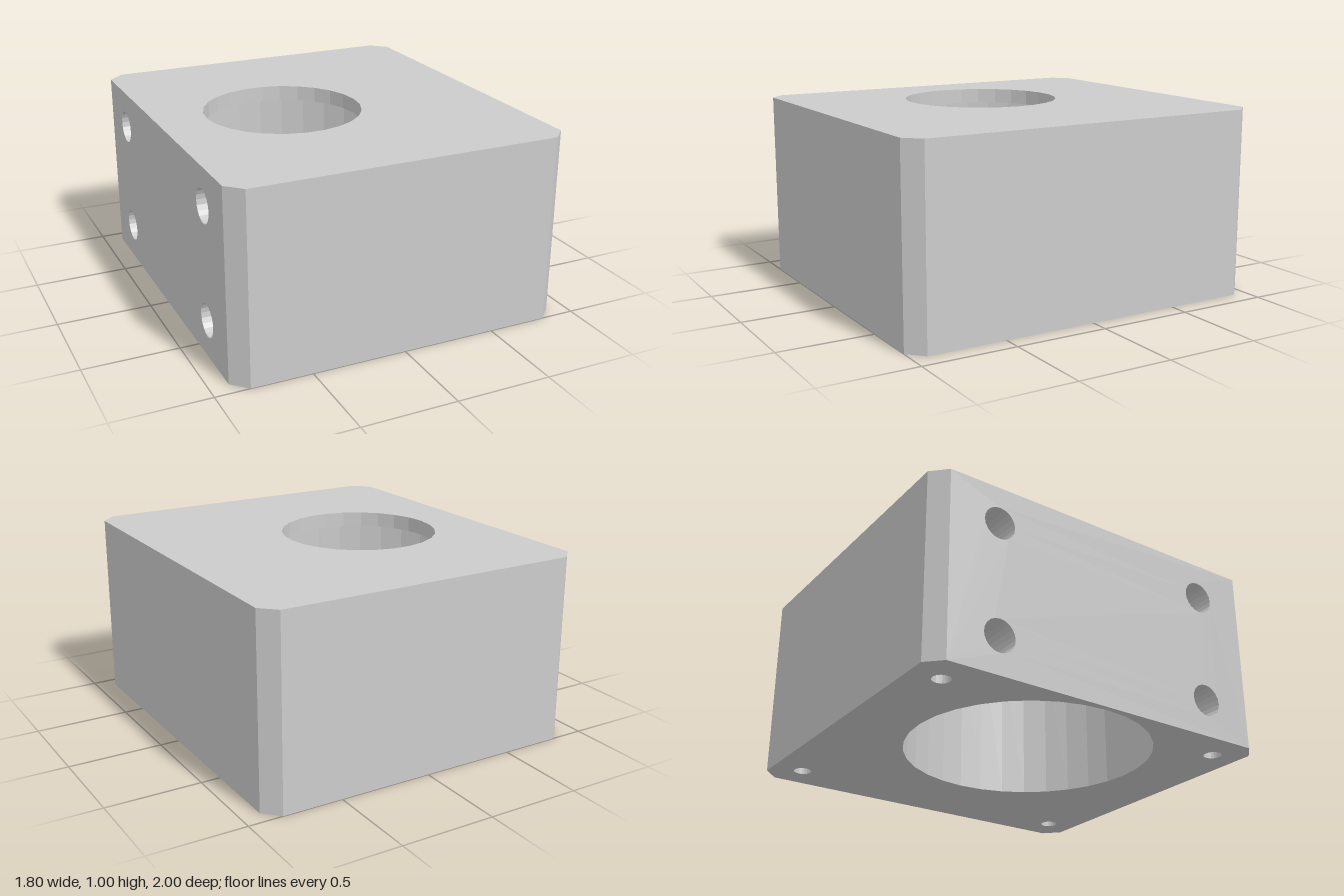
import * as THREE from 'three';

const HALF_X = 0.9, HALF_Z = 1, HEIGHT = 1, CHAMFER = 0.08;
const BORE = { x: -0.22, lipR: 0.42, lipSides: 26, r: 0.65, sides: 32, ledgeY: 0.92 };
const SIDE_HOLE = { r: 0.087, depth: 0.3, z: 0.64, y: [0.2, 0.8] };
const BASE_HOLE = { r: 0.047, depth: 0.3, x: 0.72, z: 0.835 };
const HOLE_SIDES = 20;

const material = new THREE.MeshStandardMaterial({ color: 0xcccccc, flatShading: true });

function add(parent, name, geometry) {
  const mesh = new THREE.Mesh(geometry, material);
  mesh.name = name;
  parent.add(mesh);
  return mesh;
}

// Polygonal cut-out whose corners match those of a turned hole
function cutout(cx, cy, r, sides) {
  const points = [];
  for (let i = 0; i < sides; i++) {
    const a = (i / sides) * Math.PI * 2;
    points.push(new THREE.Vector2(cx + r * Math.cos(a), cy + r * Math.sin(a)));
  }
  return new THREE.Path(points);
}

// Inward-facing turned surface; the profile runs from the deep end to the mouth
function hollow(profile, sides) {
  return new THREE.LatheGeometry(profile.map(([r, y]) => new THREE.Vector2(r, y)), sides, Math.PI / 2);
}

function blindHole({ r, depth }) {
  return hollow([[0, depth], [r, depth], [r, 0]], HOLE_SIDES);
}

export function createModel() {
  const model = new THREE.Group();
  model.name = 'boredBlock';

  // Chamfered outline, counter-clockwise
  const ix = HALF_X - CHAMFER, iz = HALF_Z - CHAMFER;
  const outline = [
    [ix, -HALF_Z], [HALF_X, -iz], [HALF_X, iz], [ix, HALF_Z],
    [-ix, HALF_Z], [-HALF_X, iz], [-HALF_X, -iz], [-ix, -HALF_Z],
  ].map(([x, z]) => new THREE.Vector2(x, z));

  // Top and bottom faces
  const top = new THREE.Shape(outline);
  top.holes.push(cutout(BORE.x, 0, BORE.lipR, BORE.lipSides));
  add(model, 'topFace', new THREE.ShapeGeometry(top).rotateX(-Math.PI / 2)).position.y = HEIGHT;

  const bottom = new THREE.Shape(outline);
  bottom.holes.push(cutout(BORE.x, 0, BORE.r, BORE.sides));
  for (const sx of [-1, 1]) for (const sz of [-1, 1]) {
    bottom.holes.push(cutout(sx * BASE_HOLE.x, sz * BASE_HOLE.z, BASE_HOLE.r, HOLE_SIDES));
  }
  add(model, 'bottomFace', new THREE.ShapeGeometry(bottom).rotateX(Math.PI / 2));

  // Eight outer walls; the right one is pierced by four holes
  outline.forEach((a, i) => {
    const b = outline[(i + 1) % outline.length];
    const half = a.distanceTo(b) / 2;
    const wall = new THREE.Shape([[-half, 0], [half, 0], [half, HEIGHT], [-half, HEIGHT]]
      .map(([x, y]) => new THREE.Vector2(x, y)));
    const isRight = a.x === -HALF_X && b.x === -HALF_X;
    if (isRight) {
      for (const z of [-SIDE_HOLE.z, SIDE_HOLE.z]) for (const y of SIDE_HOLE.y) {
        wall.holes.push(cutout(z, y, SIDE_HOLE.r, HOLE_SIDES));
      }
    }
    const mesh = add(model, isRight ? 'drilledWall' : i % 2 ? 'wall' : 'cornerChamfer',
      new THREE.ShapeGeometry(wall));
    mesh.position.set((a.x + b.x) / 2, 0, (a.y + b.y) / 2);
    mesh.rotation.y = Math.atan2(b.y - a.y, a.x - b.x);
  });

  // Stepped bore: narrow lip, ledge and wide bore
  const bore = new THREE.Group();
  bore.name = 'steppedBore';
  bore.position.x = BORE.x;
  add(bore, 'boreLip', hollow([[BORE.lipR, HEIGHT], [BORE.lipR, BORE.ledgeY]], BORE.lipSides));
  const ledge = new THREE.Shape(cutout(0, 0, BORE.r, BORE.sides).getPoints());
  ledge.holes.push(cutout(0, 0, BORE.lipR, BORE.lipSides));
  add(bore, 'boreLedge', new THREE.ShapeGeometry(ledge).rotateX(Math.PI / 2)).position.y = BORE.ledgeY;
  add(bore, 'boreWall', hollow([[BORE.r, BORE.ledgeY], [BORE.r, 0]], BORE.sides));
  model.add(bore);

  // Blind holes in the base and in the right wall
  for (const s of [-1, 1]) {
    for (const sx of [-1, 1]) {
      add(model, 'baseHole', blindHole(BASE_HOLE)).position.set(sx * BASE_HOLE.x, 0, s * BASE_HOLE.z);
    }
    for (const y of SIDE_HOLE.y) {
      const hole = add(model, 'sideHole', blindHole(SIDE_HOLE).rotateZ(-Math.PI / 2));
      hole.position.set(-HALF_X, y, s * SIDE_HOLE.z);
    }
  }
  return model;
}
